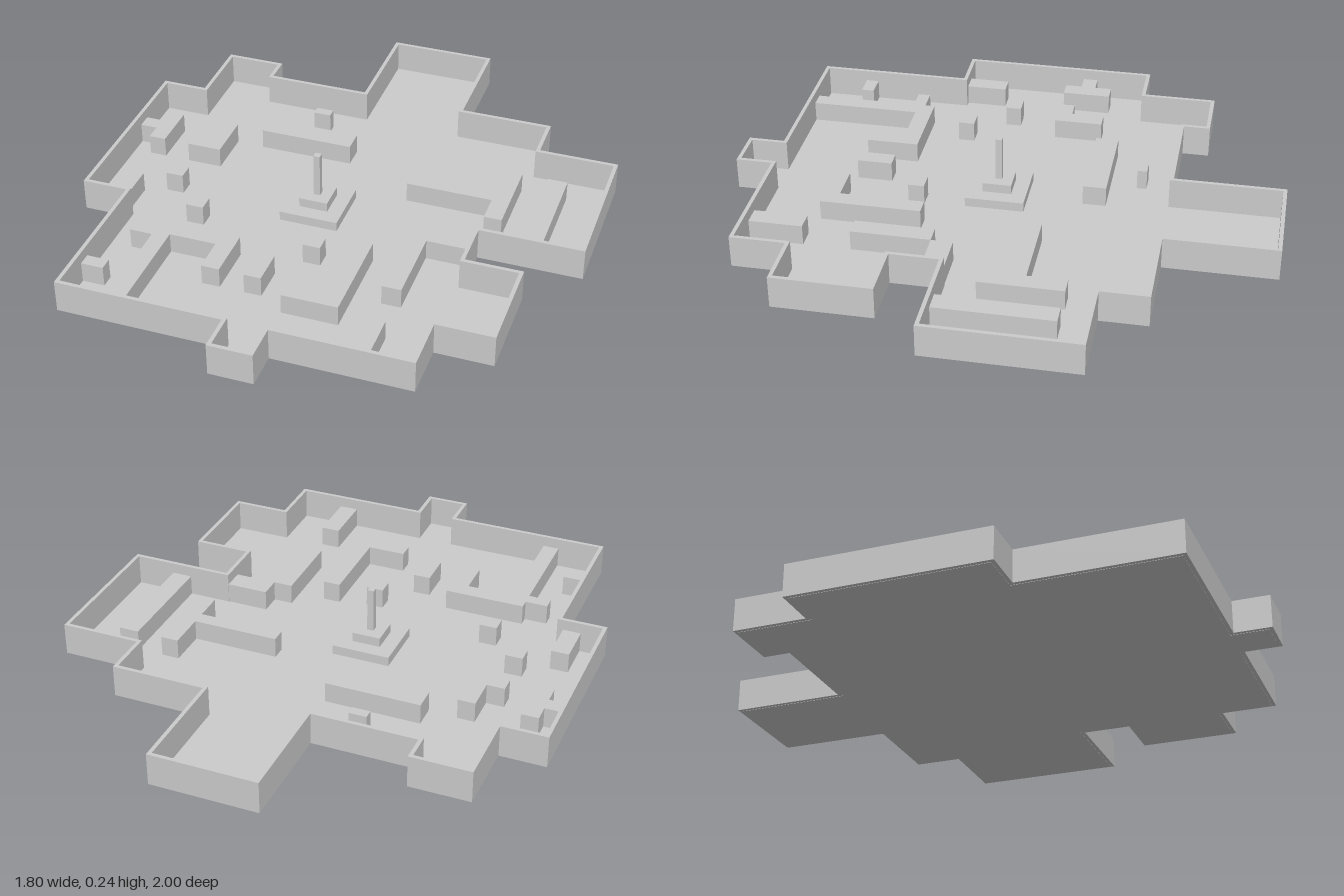
import * as THREE from 'three';

const WALL_TOP = 0.12, WALL_T = 0.014, FLOOR = 0.005, BLOCK_TOP = 0.08;

// Outer edge of the arena as [x, z], clockwise seen from above
const OUTLINE = [
  [-0.132, -1], [0.264, -1], [0.264, -0.594], [0.608, -0.594], [0.608, -0.422], [0.9, -0.422],
  [0.9, 0.13], [0.524, 0.13], [0.524, 0.305], [0.73, 0.305], [0.73, 0.667], [0.524, 0.667],
  [0.524, 0.867], [0.028, 0.867], [0.028, 1], [-0.132, 1], [-0.132, 0.867], [-0.733, 0.867],
  [-0.733, 0.303], [-0.9, 0.303], [-0.9, -0.422], [-0.733, -0.422], [-0.733, -0.692],
  [-0.512, -0.692], [-0.512, -0.594], [-0.132, -0.594],
];

// Obstacles, each a list of boxes [x0, x1, z0, z1]
const OBSTACLES = {
  smallCrate: [[-0.29, -0.225, -0.488, -0.452]],
  longBench: [[-0.433, -0.083, -0.355, -0.27]],
  cornerBlock: [[-0.6, -0.537, -0.275, -0.095], [-0.665, -0.6, -0.153, -0.095]],
  wallTee: [[-0.823, -0.76, -0.275, -0.095], [-0.886, -0.823, -0.212, -0.157]],
  crateWest: [[-0.665, -0.6, 0.05, 0.108]],
  wallBlockWest: [[-0.808, -0.742, 0.138, 0.289]],
  crateMiddle: [[-0.518, -0.453, 0.207, 0.267]],
  crateEast: [[-0.042, 0.022, 0.297, 0.356]],
  southBarrier: [[0.123, 0.187, 0.273, 0.641], [-0.016, 0.123, 0.583, 0.641]],
  shortBlock: [[-0.173, -0.11, 0.45, 0.579]],
  hookBarrier: [[-0.56, -0.262, 0.387, 0.45], [-0.56, -0.5, 0.45, 0.853],
    [-0.328, -0.262, 0.45, 0.579], [-0.643, -0.56, 0.423, 0.469]],
  wallStub: [[-0.719, -0.638, 0.652, 0.7]],
  southWallBlock: [[0.287, 0.357, 0.658, 0.853]],
  eastBarrier: [[0.19, 0.508, -0.165, -0.112], [0.508, 0.573, -0.307, -0.005]],
  eastWallBlock: [[0.667, 0.741, -0.307, 0.116]],
  notchBarrier: [[0.357, 0.51, 0.118, 0.197], [0.287, 0.357, 0.197, 0.486]],
};

// Moves every edge of a right-angled outline inwards by t
function inset(points, t) {
  const n = points.length;
  const normal = (a, b) => [-Math.sign(b[1] - a[1]) * t, Math.sign(b[0] - a[0]) * t];
  return points.map((p, i) => {
    const a = normal(points[(i + n - 1) % n], p);
    const b = normal(p, points[(i + 1) % n]);
    return [p[0] + a[0] + b[0], p[1] + a[1] + b[1]];
  });
}

// Plan points in shape space, turned anticlockwise so that faces point outwards
const toVectors = (points) => points.map(([x, z]) => new THREE.Vector2(x, -z)).reverse();

export function createModel() {
  const model = new THREE.Group();
  model.name = 'arena';
  const grey = new THREE.MeshStandardMaterial({ color: 0xcccccc, flatShading: true });

  const add = (parent, name, geometry) => {
    const mesh = new THREE.Mesh(geometry, grey);
    mesh.name = name;
    parent.add(mesh);
  };
  // Upright slab from a plan shape
  const slab = (shape, y0, y1) =>
    new THREE.ExtrudeGeometry(shape, { depth: y1 - y0, bevelEnabled: false })
      .rotateX(-Math.PI / 2).translate(0, y0, 0);
  const box = ([x0, x1, z0, z1], y0, y1) =>
    new THREE.BoxGeometry(x1 - x0, y1 - y0, z1 - z0)
      .translate((x0 + x1) / 2, (y0 + y1) / 2, (z0 + z1) / 2);

  // Floor and the thin wall around it
  const inner = inset(OUTLINE, WALL_T);
  add(model, 'floor', slab(new THREE.Shape(toVectors(inner)), 0, FLOOR));
  const ring = new THREE.Shape(toVectors(OUTLINE));
  ring.holes.push(new THREE.Path(toVectors(inner)));
  add(model, 'outerWall', slab(ring, 0.001, WALL_TOP));

  // Obstacles on the floor
  for (const [name, boxes] of Object.entries(OBSTACLES)) {
    const group = new THREE.Group();
    group.name = name;
    boxes.forEach((b, i) => add(group, `${name}Part${i + 1}`, box(b, FLOOR, BLOCK_TOP)));
    model.add(group);
  }

  // Stepped pedestal with a slim pillar
  const monument = new THREE.Group();
  monument.name = 'monument';
  const steps = [['lowerStep', 0.108, FLOOR, 0.04], ['upperStep', 0.053, 0.04, 0.075],
    ['pillar', 0.012, 0.075, 0.24]];
  for (const [name, r, y0, y1] of steps) {
    add(monument, name, box([-0.098 - r, -0.098 + r, 0.041 - r, 0.041 + r], y0, y1));
  }
  model.add(monument);

  return model;
}
